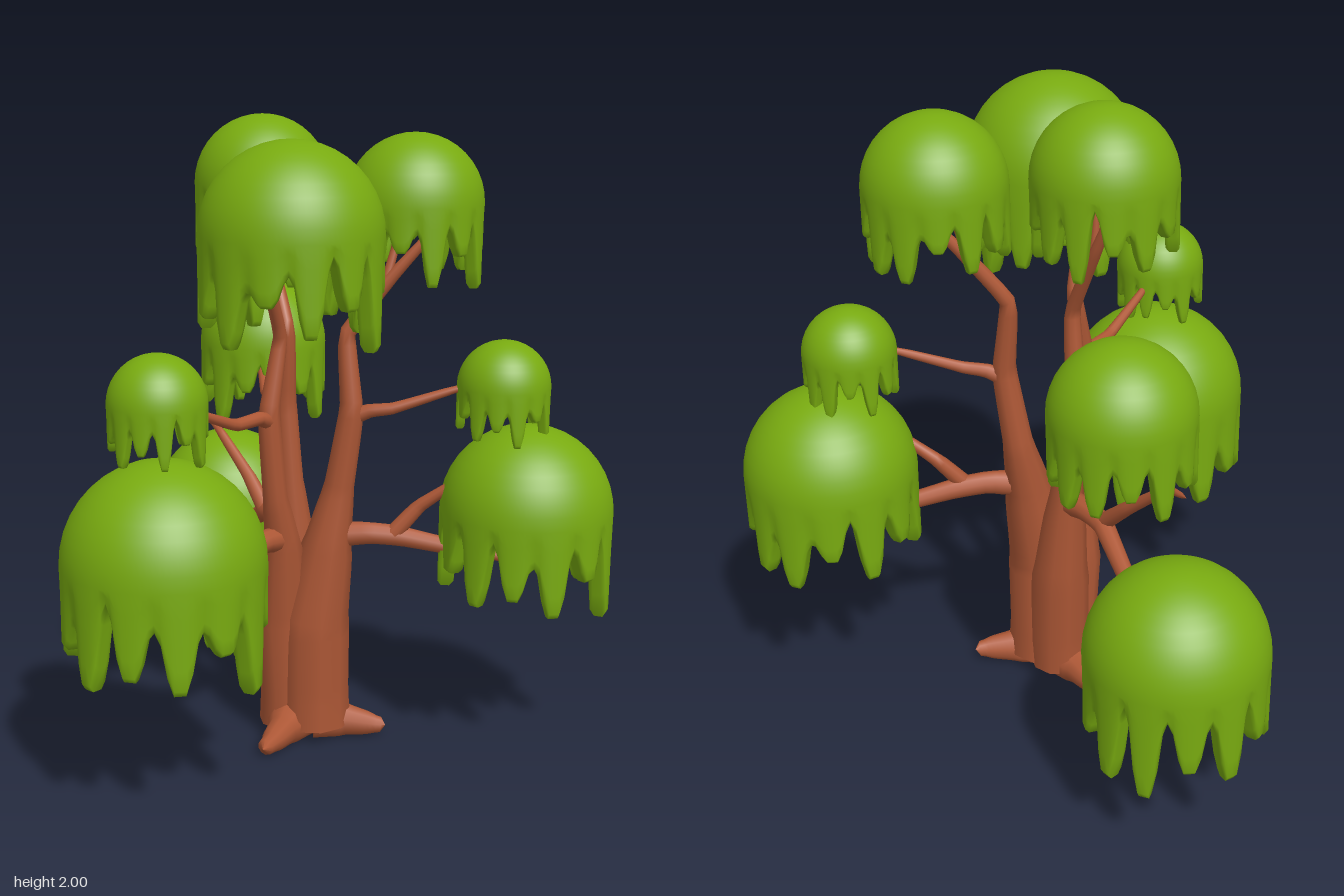
import * as THREE from 'three';

const leafGreen = new THREE.MeshStandardMaterial({ color: 0x78aa10 });
const barkBrown = new THREE.MeshStandardMaterial({ color: 0xae5836 });

// small seeded random generator
function seeded(seed) {
  let s = seed * 7919 + 17;
  return () => (s = (s * 16807) % 2147483647) / 2147483647;
}

// tapered limb through points [x, y, z, radius], closed at both ends
function limb(name, pts, sides = 10) {
  const curve = new THREE.CatmullRomCurve3(pts.map(p => new THREE.Vector3(p[0], p[1], p[2])), false, 'catmullrom', 0.15);
  const segs = (pts.length - 1) * 5;
  const geo = new THREE.TubeGeometry(curve, segs, 1, sides);
  const pos = geo.attributes.position, v = new THREE.Vector3();
  for (let j = 0; j <= segs; j++) {
    const u = j / segs, c = curve.getPointAt(u);
    const t = curve.getUtoTmapping(u) * (pts.length - 1);
    const k = Math.min(Math.floor(t), pts.length - 2);
    const closed = j === 0 || j === segs;
    const r = closed ? 0 : THREE.MathUtils.lerp(pts[k][3], pts[k + 1][3], t - k);
    for (let i = 0; i <= sides; i++) {
      const n = j * (sides + 1) + i;
      v.fromBufferAttribute(pos, n).sub(c).multiplyScalar(r).add(c);
      pos.setXYZ(n, v.x, Math.max(0.005, v.y), v.z);
    }
  }
  const mesh = new THREE.Mesh(geo, barkBrown);
  mesh.name = name;
  return mesh;
}

// hollow dome of foliage whose rim hangs down in uneven drips
function canopyGeometry(seed) {
  const rnd = seeded(seed), drips = 13, per = 8, cols = drips * per;
  rnd(); rnd();
  const lengths = Array.from({ length: drips }, (_, i) => (i % 2 === 0 ? 0.95 : 0.62) + rnd() * 0.25);
  const gaps = lengths.map(() => 0.12 + rnd() * 0.4);
  const rows = [];
  const domeSteps = 10, skirt = [0.25, 0.5, 0.75, 0.94, 1];
  for (let j = 0; j <= domeSteps; j++) rows.push([1, j / domeSteps, 0]);
  for (const s of skirt) rows.push([s === 1 ? 0.96 : 1, 1, s]);
  for (const s of [...skirt].reverse()) rows.push([s === 1 ? 0.86 : 0.81, 1, s]);
  for (let j = 6; j >= 0; j--) rows.push([0.81, j / 6, 0]);

  const pos = [], idx = [];
  for (const [r, dome, s] of rows) {
    const phi = dome * Math.PI / 2;
    for (let i = 0; i < cols; i++) {
      const d = Math.floor(i / per), f = (i % per) / per;
      const gap = THREE.MathUtils.lerp(gaps[d], gaps[(d + 1) % drips], f);
      // rounded arch between drips, blunt tip in the middle of each
      const round = THREE.MathUtils.smoothstep(1 - Math.abs(2 * f - 1), 0.05, 0.75);
      const drop = gap + (lengths[d] - gap) * round;
      const a = (i / cols) * Math.PI * 2;
      const rr = r * Math.sin(phi) * (1 - 0.04 * s * (1 - round));
      pos.push(rr * Math.cos(a), r * Math.cos(phi) - s * drop, rr * Math.sin(a));
    }
  }
  for (let j = 0; j < rows.length - 1; j++) {
    for (let i = 0; i < cols; i++) {
      const n = (i + 1) % cols;
      const tl = j * cols + n, tr = j * cols + i, bl = tl + cols, br = tr + cols;
      idx.push(tl, bl, br, tl, br, tr);
    }
  }
  const geo = new THREE.BufferGeometry();
  geo.setAttribute('position', new THREE.Float32BufferAttribute(pos, 3));
  geo.setIndex(idx);
  geo.computeVertexNormals();
  // keep the poles evenly shaded
  const nor = geo.attributes.normal, last = (rows.length - 1) * cols;
  for (let i = 0; i < cols; i++) {
    nor.setXYZ(i, 0, 1, 0);
    nor.setXYZ(last + i, 0, -1, 0);
  }
  return geo;
}

export function createModel() {
  const tree = new THREE.Group();
  tree.name = 'tree';

  // three intertwined trunks, each with its side branches
  const wood = new THREE.Group();
  wood.name = 'wood';
  tree.add(wood);
  const limbs = {
    leftTrunk: [[.09, .005, .06, .1], [.08, .15, .06, .085], [.06, .4, .06, .09], [.035, .66, .08, .06], [0, .82, .08, .04], [-.03, 1.09, .08, .034], [.02, 1.33, .08, .022], [-.06, 1.5, .11, .019], [-.11, 1.68, .19, .012]],
    frontTrunk: [[.135, .005, .13, .125], [.13, .15, .13, .115], [.12, .4, .14, .116], [.155, .66, .165, .078], [.185, .82, .18, .05], [.205, 1.09, .215, .038], [.215, 1.33, .185, .026], [.31, 1.5, .275, .021], [.42, 1.68, .39, .012]],
    backTrunk: [[.155, .005, .05, .1], [.165, .15, .045, .098], [.18, .4, .025, .092], [.175, .66, .005, .06], [.17, .82, -.01, .042], [.165, 1.09, -.03, .035], [.15, 1.33, -.01, .023], [.19, 1.55, -.12, .019], [.2, 1.7, -.19, .012]],
    leftLowerBranch: [[.04, .68, .08, .045], [-.06, .69, .09, .036], [-.2, .68, .1, .034], [-.38, .63, .12, .024], [-.6, .58, .14, .01]],
    leftTwig: [[-.16, .67, .1, .03], [-.25, .78, .09, .022], [-.38, .88, .07, .014], [-.47, .92, .07, .006]],
    leftUpperBranch: [[-.01, 1.06, .08, .03], [-.08, 1.09, .09, .022], [-.2, 1.09, .1, .019], [-.4, 1.165, .11, .012], [-.52, 1.21, .13, .007]],
    leftTopTwig: [[-.06, 1.5, .11, .016], [-.09, 1.6, .1, .012], [-.1, 1.72, .1, .007]],
    frontLowerBranch: [[.16, .68, .16, .045], [.24, .69, .26, .036], [.31, .68, .33, .034], [.47, .63, .49, .024], [.66, .58, .68, .01]],
    frontTwig: [[.28, .67, .31, .03], [.35, .78, .38, .022], [.42, .88, .5, .014], [.46, .92, .56, .006]],
    frontUpperBranch: [[.2, 1.06, .2, .03], [.24, 1.09, .26, .022], [.28, 1.1, .32, .019], [.4, 1.16, .46, .012], [.5, 1.2, .57, .007]],
    frontTopTwig: [[.3, 1.49, .265, .016], [.34, 1.6, .27, .012], [.34, 1.72, .26, .007]],
    backLowerBranch: [[.175, .68, .02, .045], [.2, .69, -.09, .036], [.23, .68, -.18, .034], [.36, .58, -.38, .024], [.49, .5, -.58, .01]],
    backTwig: [[.22, .67, -.16, .03], [.25, .78, -.28, .022], [.27, .91, -.44, .014], [.31, .93, -.53, .006]],
    backUpperBranch: [[.165, 1.06, -.02, .03], [.2, 1.085, -.1, .022], [.24, 1.085, -.19, .019], [.36, 1.17, -.33, .012], [.42, 1.22, -.38, .007]],
    backTopTwig: [[.185, 1.53, -.11, .016], [.17, 1.62, -.11, .012], [.16, 1.74, -.1, .007]],
    frontRoot: [[.13, .07, .13, .1], [.2, .05, .21, .055], [.25, .04, .28, .034], [.28, .035, .315, .02]],
    leftRoot: [[.1, .07, .09, .1], [0, .05, .12, .055], [-.08, .04, .145, .036], [-.14, .035, .16, .022]],
    backRoot: [[.15, .07, .05, .1], [.18, .05, -.05, .055], [.205, .04, -.11, .036], [.225, .035, -.165, .022]],
  };
  for (const [name, pts] of Object.entries(limbs)) wood.add(limb(name, pts));

  // foliage domes: name, x, centre height, z, radius
  const canopies = [
    ['backLowCanopy', .52, .568, -.64, .272],
    ['backMidCanopy', .43, 1.215, -.385, .216],
    ['backTopCanopy', .175, 1.784, -.145, .216],
    ['leftTopCanopy', -.137, 1.672, .268, .275],
    ['frontTopCanopy', .39, 1.734, .303, .216],
    ['leftLowCanopy', -.54, .745, .143, .304],
    ['leftMidCanopy', -.55, 1.215, .135, .146],
    ['frontLowCanopy', .57, .776, .635, .273],
    ['frontMidCanopy', .51, 1.174, .577, .146],
  ];
  canopies.forEach(([name, x, y, z, r], i) => {
    const mesh = new THREE.Mesh(canopyGeometry(i + 3), leafGreen);
    mesh.name = name;
    mesh.position.set(x, y, z);
    mesh.scale.setScalar(r);
    tree.add(mesh);
  });
  return tree;
}
